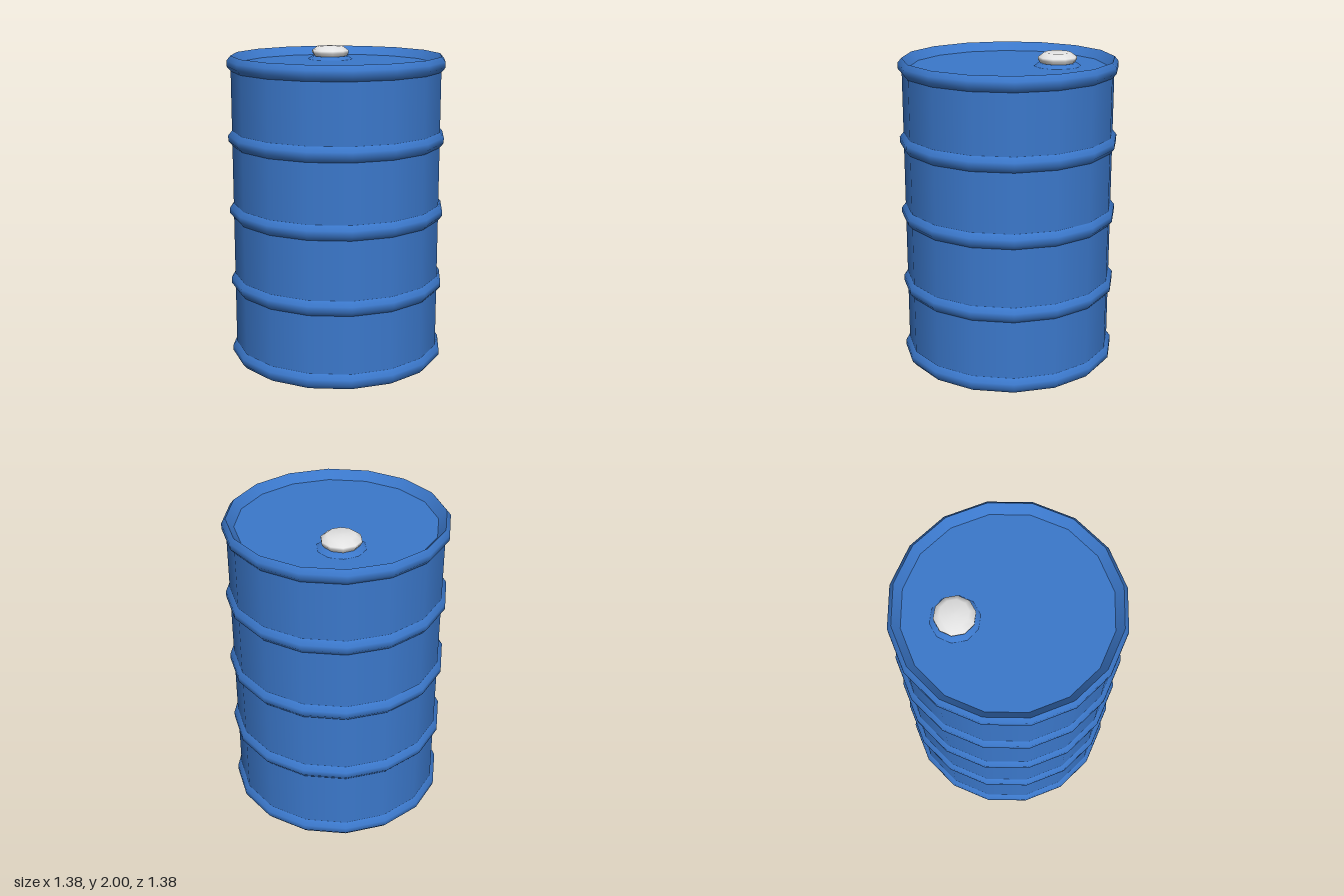
import * as THREE from 'three';

const SIDES = 16;
const BODY_R = 0.665, RING_R = 0.69, RING_H = 0.095;
const TOP = 1.97, LID_Y = 1.915, LID_R = 0.617;

const blue = new THREE.MeshStandardMaterial({ color: 0x3b78cb });
blue.name = 'drum blue';
const white = new THREE.MeshStandardMaterial({ color: 0xe4e4e4 });
white.name = 'cap white';

// Turned part from [radius, height] pairs; separate parts keep sharp edges between them
function turned(name, profile, material, sides = SIDES) {
  const points = profile.map(([r, y]) => new THREE.Vector2(r, y));
  const mesh = new THREE.Mesh(new THREE.LatheGeometry(points, sides), material);
  mesh.name = name;
  return mesh;
}

export function createModel() {
  const drum = new THREE.Group();
  drum.name = 'drum';

  // Five evenly spaced rings, with straight wall between them
  const step = (TOP - RING_H) / 4;
  for (let i = 0; i < 5; i++) {
    const y = i * step;
    drum.add(turned('ring' + (i + 1), [
      [BODY_R, y], [RING_R, y + 0.03], [RING_R, y + RING_H - 0.03], [BODY_R, y + RING_H],
    ], blue));
    if (i < 4) {
      drum.add(turned('wall' + (i + 1), [[BODY_R, y + RING_H], [BODY_R, y + step]], blue));
    }
  }

  // Closed base, sloping inner rim and recessed lid
  drum.add(turned('base', [[0, 0], [BODY_R, 0]], blue));
  drum.add(turned('innerRim', [[BODY_R, TOP], [LID_R, LID_Y]], blue));
  drum.add(turned('lid', [[LID_R, LID_Y], [0, LID_Y]], blue));

  // Filler opening near the back: sloped collar and domed cap
  const filler = new THREE.Group();
  filler.name = 'filler';
  filler.position.set(0, LID_Y, -0.305);
  filler.add(turned('collar', [[0.147, 0], [0.12, 0.02], [0.1, 0.02]], blue, 10));
  filler.add(turned('cap', [
    [0.105, 0.015], [0.122, 0.04], [0.122, 0.056], [0.085, 0.083], [0, 0.085],
  ], white, 10));
  drum.add(filler);

  return drum;
}
